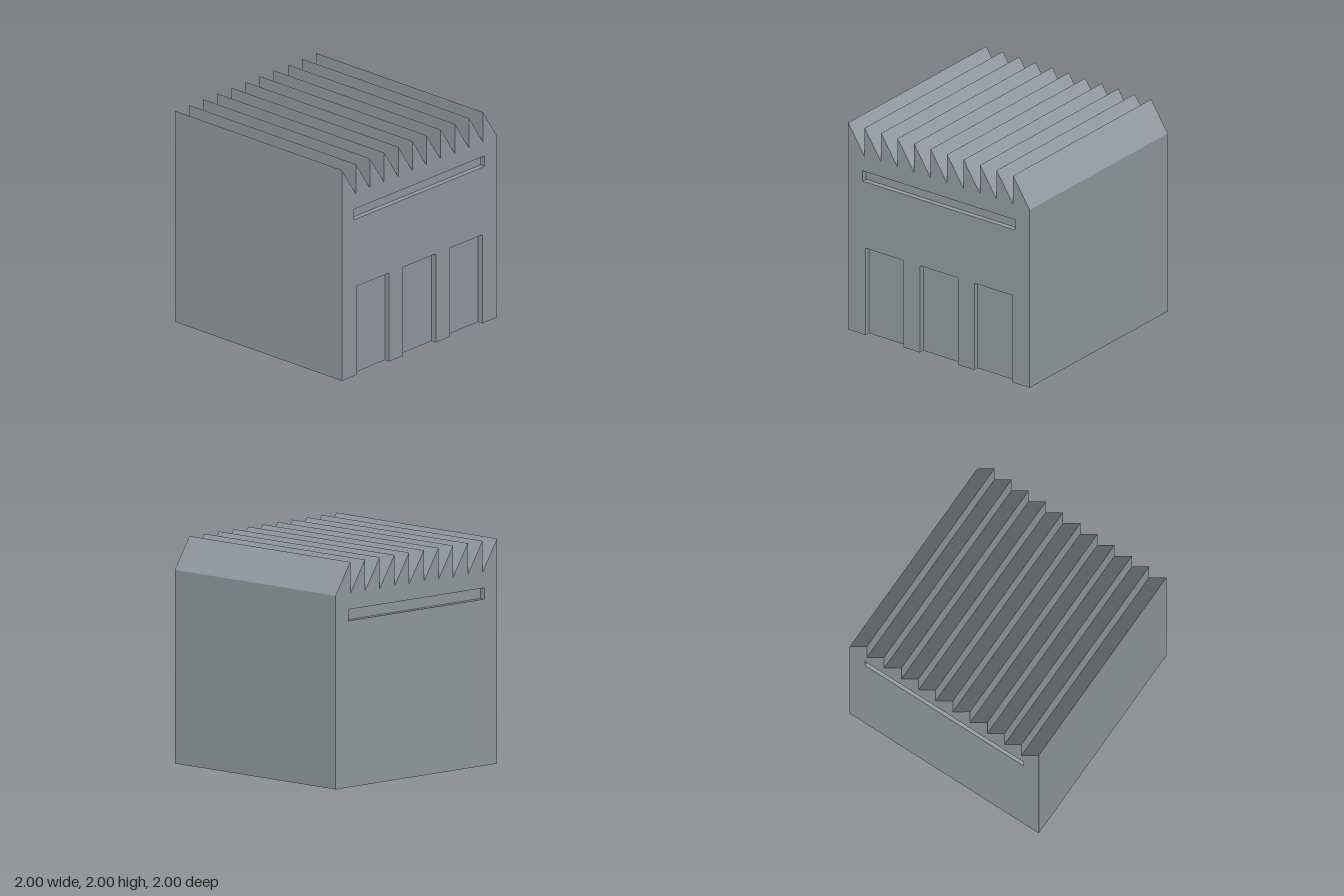
import * as THREE from 'three';

const TEETH = 11, PITCH = 2 / TEETH, VALLEY = 1.72, RIDGE = 2;
const RECESS = 0.05;
const DOOR_HALF = 0.21, DOOR_HEIGHT = 0.84, DOOR_CENTRES = [-0.6, 0, 0.6];

// Cross-section of the hall: saw-tooth roof on top, optional door notches at the bottom
function hallOutline(doorCentres = []) {
  const s = new THREE.Shape();
  s.moveTo(-1, 0);
  for (const x of doorCentres) {
    s.lineTo(x - DOOR_HALF, 0);
    s.lineTo(x - DOOR_HALF, DOOR_HEIGHT);
    s.lineTo(x + DOOR_HALF, DOOR_HEIGHT);
    s.lineTo(x + DOOR_HALF, 0);
  }
  s.lineTo(1, 0);
  for (let i = TEETH; i > 0; i--) {
    s.lineTo(-1 + i * PITCH, VALLEY);
    s.lineTo(-1 + (i - 1) * PITCH, RIDGE);
  }
  s.closePath();
  return s;
}

// Long window band below the roof
function windowBand() {
  const x = 0.84, y0 = 1.48, y1 = 1.58;
  return new THREE.Path([
    new THREE.Vector2(-x, y0), new THREE.Vector2(-x, y1),
    new THREE.Vector2(x, y1), new THREE.Vector2(x, y0),
  ]);
}

export function createModel() {
  const group = new THREE.Group();
  group.name = 'factoryHall';
  const material = new THREE.MeshStandardMaterial({ color: 0x979da1, flatShading: true });

  const addSlab = (name, shape, z, depth) => {
    const geometry = new THREE.ExtrudeGeometry(shape, { depth, bevelEnabled: false });
    const mesh = new THREE.Mesh(geometry, material);
    mesh.name = name;
    mesh.position.z = z;
    group.add(mesh);
  };

  // Solid hall; its end faces form the backs of the recesses
  addSlab('hallBody', hallOutline(), -1 + RECESS, 2 - 2 * RECESS);

  // Front wall with three door recesses and the window band
  const front = hallOutline(DOOR_CENTRES);
  front.holes.push(windowBand());
  addSlab('frontWall', front, 1 - RECESS, RECESS);

  // Back wall with the window band only
  const back = hallOutline();
  back.holes.push(windowBand());
  addSlab('backWall', back, -1, RECESS);

  return group;
}
